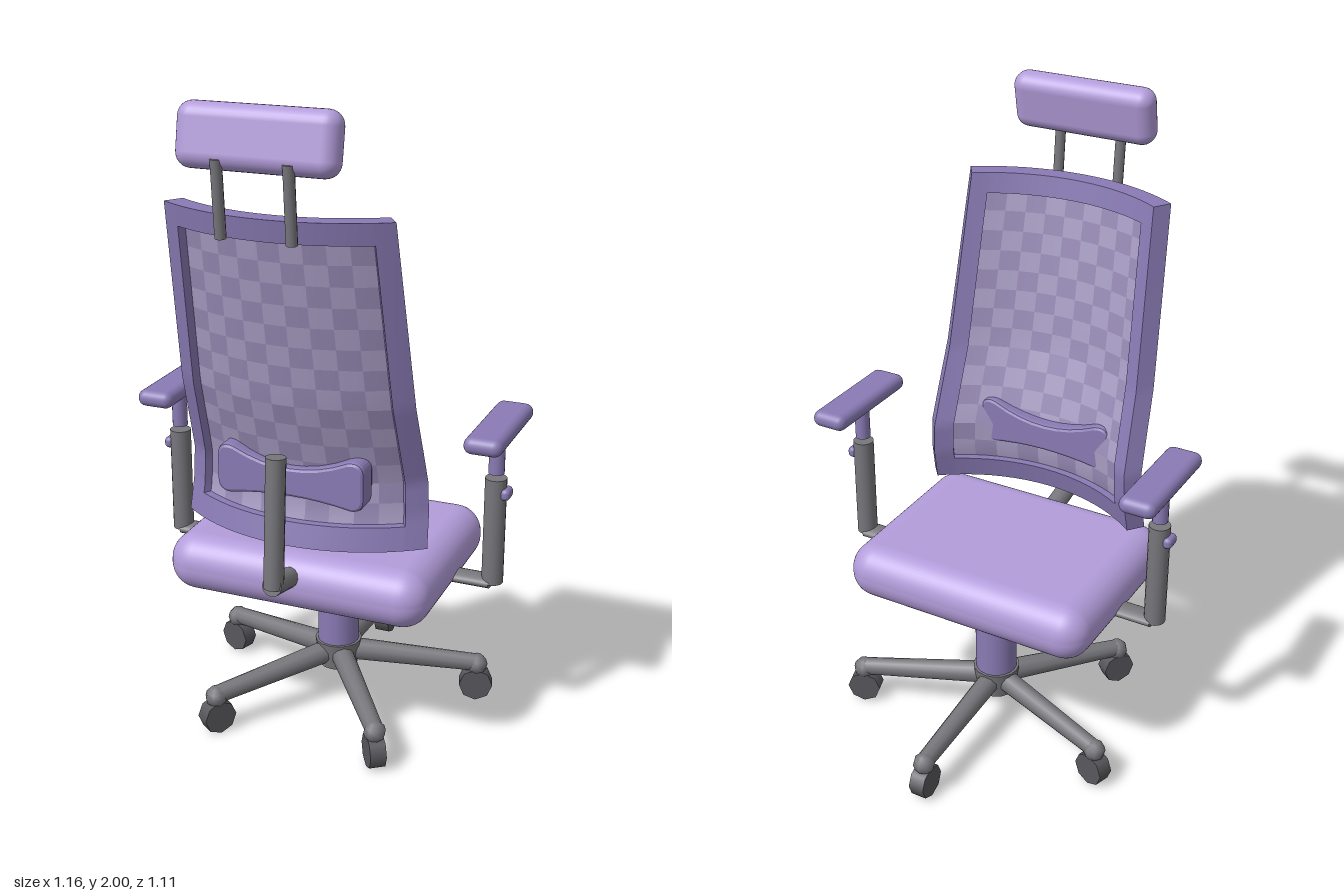
import * as THREE from 'three';
import { mergeGeometries } from 'three/addons/utils/BufferGeometryUtils.js';
import { RoundedBoxGeometry } from 'three/addons/geometries/RoundedBoxGeometry.js';

const mat = (color) => new THREE.MeshStandardMaterial({ color });
const cushion = mat(0xb39ddb), trim = mat(0x8a7bb5), weaveLight = mat(0xaa9fc6), weaveDark = mat(0x988bb6);
const metal = mat(0x77777c), dark = mat(0x58585d);
const V = (x, y, z) => new THREE.Vector3(x, y, z);

function add(parent, name, geometry, material, x = 0, y = 0, z = 0) {
  const mesh = new THREE.Mesh(geometry, material);
  mesh.name = name;
  mesh.position.set(x, y, z);
  parent.add(mesh);
  return mesh;
}

// Round bar between two points
function bar(parent, name, a, b, r0, r1, material, sides = 12) {
  const dir = b.clone().sub(a);
  const mesh = add(parent, name, new THREE.CylinderGeometry(r1, r0, dir.length(), sides), material);
  mesh.position.copy(a).add(b).multiplyScalar(0.5);
  mesh.quaternion.setFromUnitVectors(V(0, 1, 0), dir.normalize());
  return mesh;
}

// Backrest surface: S-shaped in height, an arc across the width
const R = 0.58, Y0 = 0.7, Y1 = 1.7;
const profile = [[0.7, 0.315], [0.8, 0.29], [0.9, 0.285], [1.0, 0.315], [1.15, 0.362], [1.7, 0.46]];
function centreZ(y) {
  let i = 0;
  while (i < profile.length - 2 && y > profile[i + 1][0]) i++;
  const [a, b] = [profile[i], profile[i + 1]];
  return a[1] + (b[1] - a[1]) * (y - a[0]) / (b[0] - a[0]);
}

// Curved block: a box bent onto the backrest surface (u across, y up, d through)
function backBlock(u0, u1, y0, y1, d, nu, ny) {
  const g = new THREE.BoxGeometry(1, 1, 1, nu, ny, 1);
  const p = g.attributes.position;
  for (let i = 0; i < p.count; i++) {
    const u = THREE.MathUtils.lerp(u0, u1, p.getX(i) + 0.5);
    const y = THREE.MathUtils.lerp(y0, y1, p.getY(i) + 0.5);
    const r = R + p.getZ(i) * 2 * d;
    const half = THREE.MathUtils.lerp(0.365, 0.322, (y - Y0) / (Y1 - Y0));
    const angle = u * Math.asin(half / R);
    p.setXYZ(i, r * Math.sin(angle), y, centreZ(y) - R + r * Math.cos(angle));
  }
  g.computeVertexNormals();
  return g;
}

function buildBackrest() {
  const back = new THREE.Group();
  back.name = 'backrest';
  const U = 0.83, yLow = 0.77, yHigh = 1.637;
  for (const s of [-1, 1])
    add(back, 'frameSide', backBlock(s < 0 ? -1 : U, s < 0 ? -U : 1, Y0, Y1, 0.03, 2, 40), trim);
  add(back, 'frameBottom', backBlock(-U, U, Y0, yLow, 0.03, 16, 4), trim);
  add(back, 'frameTop', backBlock(-U, U, yHigh, Y1, 0.03, 16, 2), trim);

  // Two-tone woven panel
  const cells = [[], []], cols = 9, rows = 14;
  for (let i = 0; i < cols; i++) for (let j = 0; j < rows; j++) {
    const u = (k) => -U + 2 * U * k / cols, y = (k) => yLow + (yHigh - yLow) * k / rows;
    cells[(i + j) % 2].push(backBlock(u(i), u(i + 1), y(j), y(j + 1), 0.005, 2, 2));
  }
  add(back, 'wovenPanelLight', mergeGeometries(cells[0]), weaveLight);
  add(back, 'wovenPanelDark', mergeGeometries(cells[1]), weaveDark);

  // Lumbar pad: waisted slab passing through the weave
  const s = new THREE.Shape();
  s.moveTo(-0.19, 0.84);
  s.quadraticCurveTo(0, 0.875, 0.19, 0.84);
  s.quadraticCurveTo(0.22, 0.84, 0.22, 0.87);
  s.lineTo(0.22, 0.945);
  s.quadraticCurveTo(0.22, 0.98, 0.18, 0.97);
  s.quadraticCurveTo(0, 0.885, -0.18, 0.97);
  s.quadraticCurveTo(-0.22, 0.98, -0.22, 0.945);
  s.lineTo(-0.22, 0.87);
  s.quadraticCurveTo(-0.22, 0.84, -0.19, 0.84);
  add(back, 'lumbarPad', new THREE.ExtrudeGeometry(s, {
    depth: 0.05, bevelThickness: 0.014, bevelSize: 0.01, bevelSegments: 2, curveSegments: 8,
  }), trim, 0, 0, 0.264);

  // Rear support post and its link to the seat
  bar(back, 'supportPost', V(0, 0.61, 0.442), V(0, 1.005, 0.415), 0.03, 0.03, metal);
  bar(back, 'supportLink', V(0, 0.62, 0.455), V(0, 0.58, 0.28), 0.031, 0.031, metal);

  // Headrest on two rods
  for (const x of [-0.102, 0.102])
    bar(back, 'headrestRod', V(x, 1.647, 0.52), V(x, 1.86, 0.537), 0.016, 0.016, metal);
  const head = add(back, 'headrest', new RoundedBoxGeometry(0.46, 0.175, 0.09, 4, 0.042), cushion, 0, 1.91, 0.492);
  head.rotation.x = -0.19;
  return back;
}

function buildArm(side) {
  const arm = new THREE.Group();
  arm.name = side > 0 ? 'leftArm' : 'rightArm';
  const x = side * 0.523;
  add(arm, 'armPad', new RoundedBoxGeometry(0.115, 0.052, 0.366, 3, 0.025), trim, x, 1.017, -0.01);
  add(arm, 'armPost', new THREE.CylinderGeometry(0.024, 0.024, 0.125, 16), trim, x, 0.942, 0);
  add(arm, 'armSleeve', new THREE.CylinderGeometry(0.033, 0.033, 0.34, 16), metal, x, 0.695, 0);
  add(arm, 'heightButton', new RoundedBoxGeometry(0.03, 0.036, 0.055, 3, 0.014), trim, side * 0.556, 0.82, 0);
  const bracket = add(arm, 'armBracket', new THREE.CylinderGeometry(0.037, 0.037, 0.17, 16), metal, side * 0.435, 0.525, 0);
  bracket.rotation.z = Math.PI / 2;
  bracket.scale.x = 0.5;
  return arm;
}

function buildBase() {
  const base = new THREE.Group();
  base.name = 'base';
  base.position.z = -0.055;
  add(base, 'hub', new THREE.CylinderGeometry(0.075, 0.062, 0.09, 16), metal, 0, 0.155, 0);
  add(base, 'gasColumn', new THREE.CylinderGeometry(0.066, 0.066, 0.235, 20), trim, 0, 0.315, 0);
  add(base, 'piston', new THREE.CylinderGeometry(0.037, 0.037, 0.06, 16), metal, 0, 0.445, 0);
  // Five legs with casters, the first pointing to -z
  for (let i = 0; i < 5; i++) {
    const leg = new THREE.Group();
    leg.name = 'leg';
    leg.rotation.y = i * Math.PI * 2 / 5;
    bar(leg, 'legBar', V(0, 0.16, -0.03), V(0, 0.122, -0.455), 0.036, 0.028, metal, 10);
    add(leg, 'casterSwivel', new THREE.SphereGeometry(0.035, 8, 6), metal, 0, 0.117, -0.45);
    const wheel = add(leg, 'casterWheel', new THREE.CylinderGeometry(0.054, 0.054, 0.05, 8), dark, 0, 0.052, -0.448);
    wheel.rotation.z = Math.PI / 2;
    base.add(leg);
  }
  return base;
}

export function createModel() {
  const chair = new THREE.Group();
  chair.name = 'officeChair';
  add(chair, 'seat', new RoundedBoxGeometry(0.83, 0.18, 0.645, 5, 0.085), cushion, 0, 0.56, 0.022);
  add(chair, 'seatPlate', new THREE.BoxGeometry(0.37, 0.03, 0.24), dark, 0, 0.474, 0.01);
  chair.add(buildBase(), buildBackrest(), buildArm(1), buildArm(-1));
  return chair;
}
